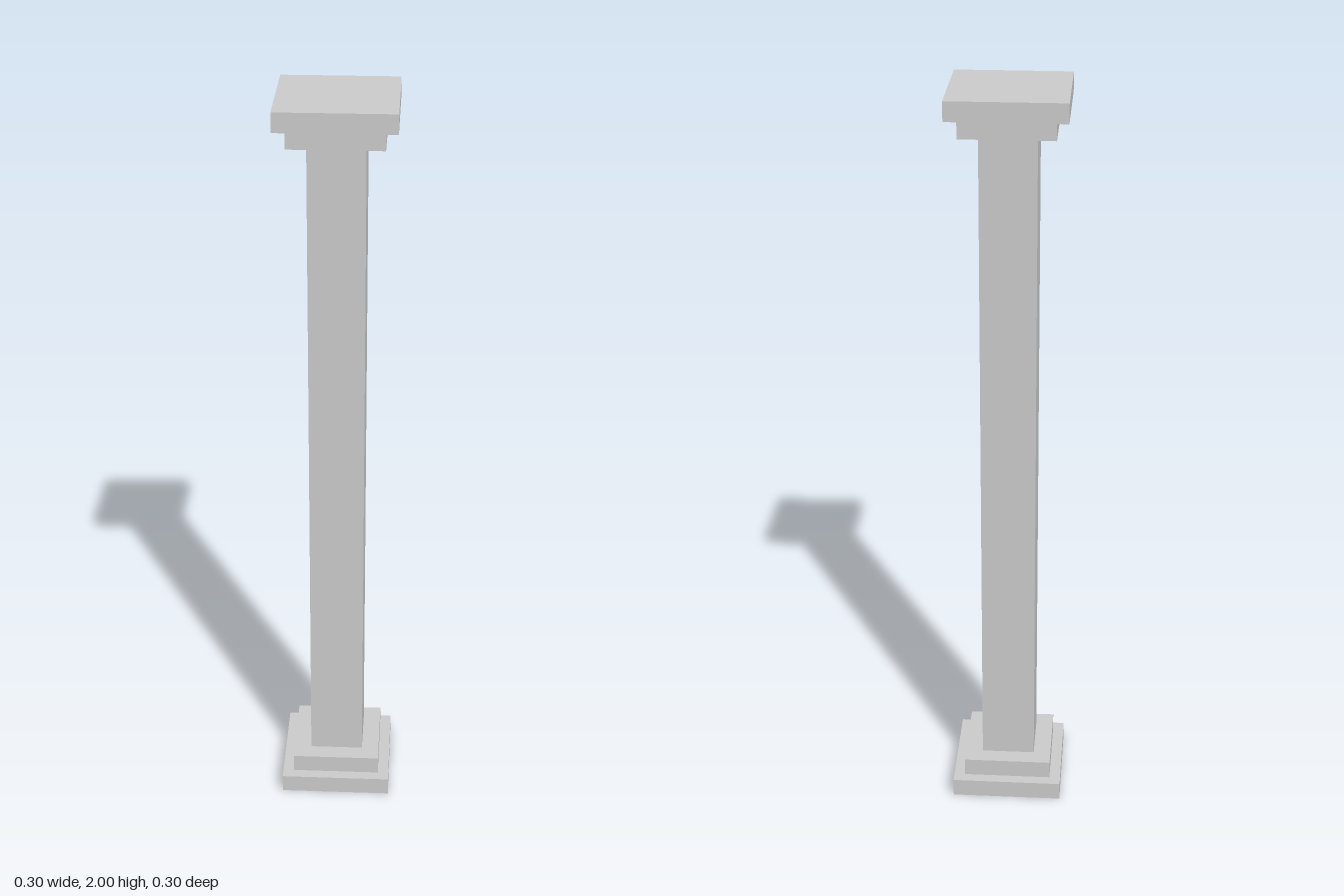
import * as THREE from 'three';

export function createModel() {
  const model = new THREE.Group();
  model.name = 'squareColumn';
  const stone = new THREE.MeshStandardMaterial({ color: 0xcccccc, flatShading: true });

  // Square block of a given width, spanning bottom to top
  function addBlock(name, width, bottom, top) {
    const block = new THREE.Mesh(new THREE.BoxGeometry(width, top - bottom, width), stone);
    block.name = name;
    block.position.y = (bottom + top) / 2;
    model.add(block);
  }

  // Stepped base
  addBlock('basePlinth', 0.3, 0, 0.05);
  addBlock('baseStep', 0.24, 0.05, 0.1);

  // Shaft
  addBlock('shaft', 0.145, 0.1, 1.9);

  // Stepped capital, mirroring the base
  addBlock('capitalStep', 0.24, 1.9, 1.95);
  addBlock('capitalSlab', 0.3, 1.95, 2);

  return model;
}
